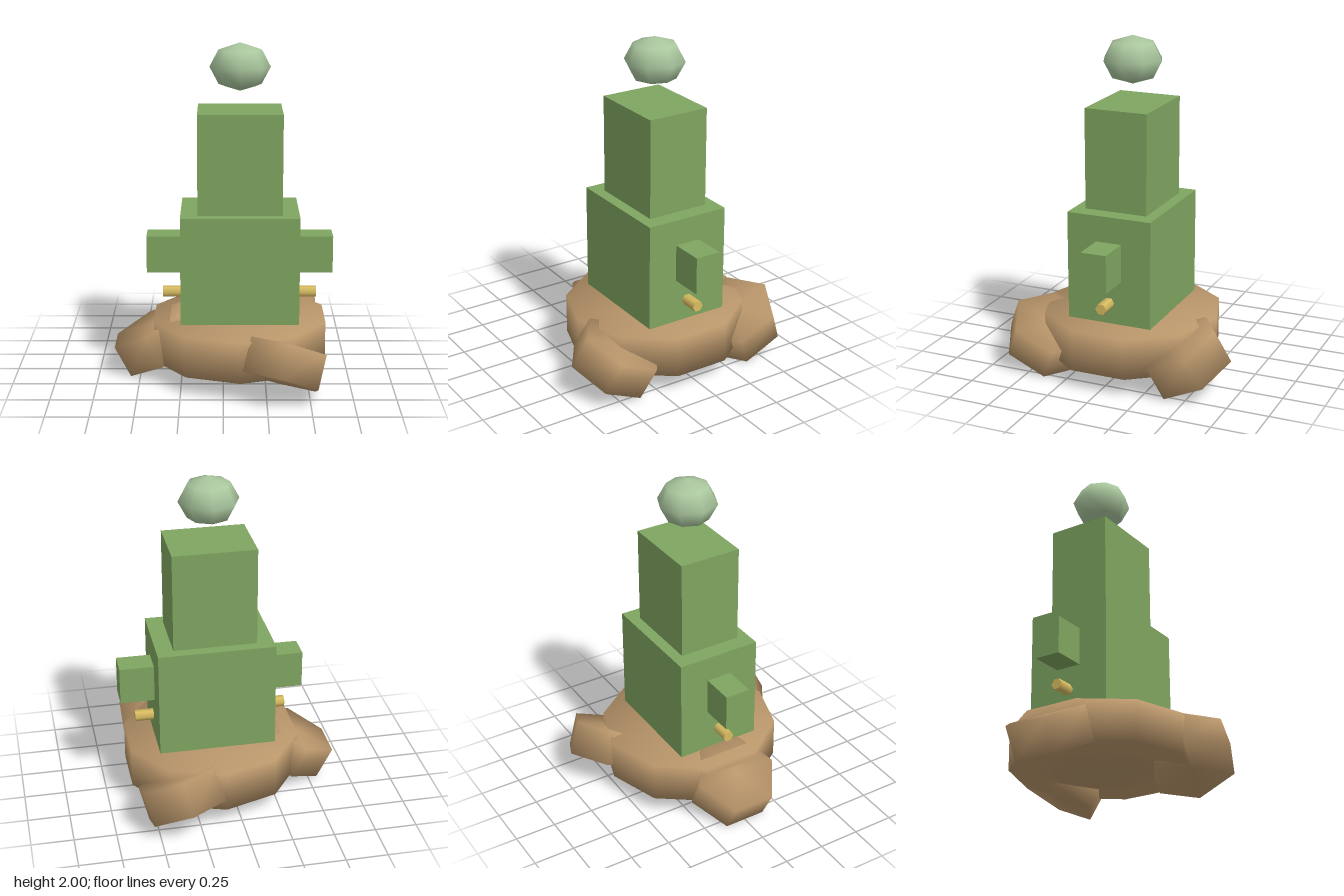
import * as THREE from 'three';
import { mergeVertices } from 'three/addons/utils/BufferGeometryUtils.js';

const CX = 0.097; // centre line of the body

const green = new THREE.MeshStandardMaterial({ name: 'leaf green', color: 0x7fa560 });
const pale = new THREE.MeshStandardMaterial({ name: 'pale green', color: 0xaac79e });
const brown = new THREE.MeshStandardMaterial({ name: 'earth brown', color: 0xb8956a });
const gold = new THREE.MeshStandardMaterial({ name: 'gold', color: 0xd8bc62 });

// Low-poly cylinder whose normals run smoothly over the rims
function softCylinder(radius, height, sides) {
  const geo = new THREE.CylinderGeometry(radius, radius, height, sides);
  geo.deleteAttribute('normal');
  geo.deleteAttribute('uv');
  const merged = mergeVertices(geo);
  merged.computeVertexNormals();
  return merged;
}

export function createModel() {
  const group = new THREE.Group();
  group.name = 'figure';

  function add(name, geometry, material, x, y, z) {
    const mesh = new THREE.Mesh(geometry, material);
    mesh.name = name;
    mesh.position.set(CX + x, y, z);
    group.add(mesh);
    return mesh;
  }

  // Stacked body blocks
  add('lowerBody', new THREE.BoxGeometry(0.695, 0.643, 0.516), green, 0, 0.697, 0);
  add('upperBody', new THREE.BoxGeometry(0.495, 0.594, 0.38), green, 0, 1.315, 0);

  // Floating flattened ball
  const ball = add('topBall', new THREE.SphereGeometry(0.178, 8, 4), pale, 0, 1.86, 0);
  ball.scale.y = 0.79;

  // Side arms and pegs
  for (const s of [-1, 1]) {
    const side = s > 0 ? 'left' : 'right';
    add(side + 'Arm', new THREE.BoxGeometry(0.22, 0.224, 0.155), green, s * 0.442, 0.752, 0);
    const peg = add(side + 'Peg', new THREE.CylinderGeometry(0.034, 0.034, 0.14, 6), gold, s * 0.39, 0.5, 0);
    peg.rotation.z = Math.PI / 2;
  }

  // Ten-sided base with a shallow bulge underneath
  add('base', softCylinder(0.535, 0.245, 10), brown, 0, 0.2375, 0);
  const bulge = add('baseBulge', new THREE.SphereGeometry(0.4, 10, 8), brown, 0, 0.165, 0);
  bulge.scale.y = 0.19;

  // Three tilted hexagonal feet
  const footGeo = softCylinder(0.255, 0.204, 6);
  for (let i = 0; i < 3; i++) {
    const a = Math.PI / 3 + (i * Math.PI * 2) / 3;
    const c = Math.cos(a), s = Math.sin(a);
    const foot = add('foot' + (i + 1), footGeo, brown, 0.505 * c, 0.1975, 0.505 * s);
    foot.rotation.set(-0.485 * s, 0, -0.485 * c);
  }

  return group;
}
